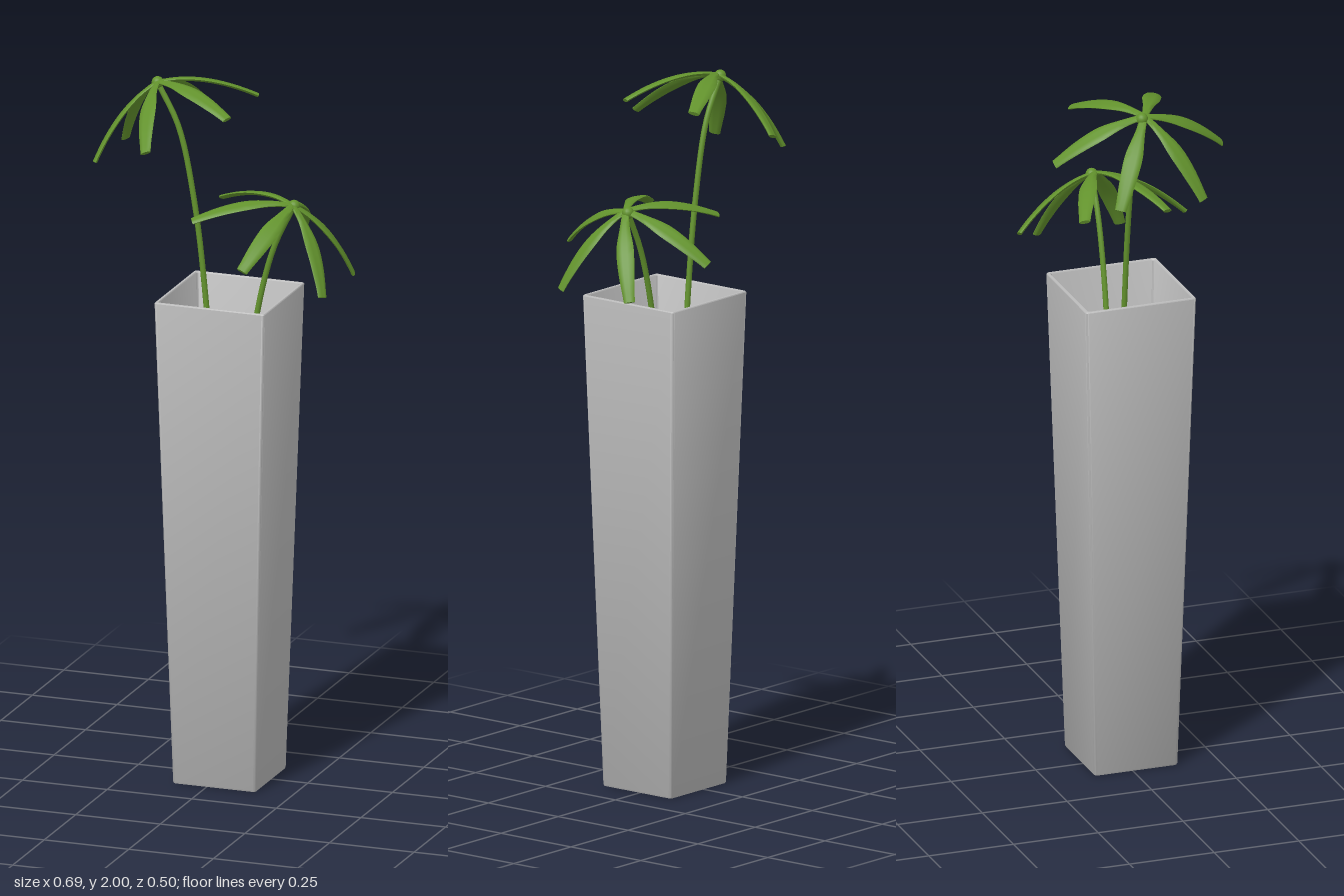
import * as THREE from 'three';
import { toCreasedNormals } from 'three/addons/utils/BufferGeometryUtils.js';

// Skin a list of closed rings (equal point counts) into one surface.
function loft(rings, crease) {
  const n = rings[0].length, pos = [], idx = [];
  rings.forEach((ring) => ring.forEach((p) => pos.push(p.x, p.y, p.z)));
  for (let i = 0; i < rings.length - 1; i++) {
    for (let j = 0; j < n; j++) {
      const k = (j + 1) % n, a = i * n + j, b = i * n + k;
      idx.push(a, a + n, b, b, a + n, b + n);
    }
  }
  const g = new THREE.BufferGeometry();
  g.setAttribute('position', new THREE.Float32BufferAttribute(pos, 3));
  g.setIndex(idx);
  return toCreasedNormals(g, crease);
}

// Horizontal square ring with small rounded corners.
function squareRing(half, y) {
  const r = Math.min(0.008, half), pts = [];
  for (let c = 0; c < 4; c++) {
    const mid = Math.PI / 4 + c * Math.PI / 2;
    const cx = Math.sign(Math.cos(mid)) * (half - r), cz = Math.sign(Math.sin(mid)) * (half - r);
    for (let s = 0; s <= 4; s++) {
      const a = c * Math.PI / 2 + s * Math.PI / 8;
      pts.push(new THREE.Vector3(cx + r * Math.cos(a), y, cz + r * Math.sin(a)));
    }
  }
  return pts;
}

// Arching blade along +x with a lens-shaped section and a blunt tip.
function leafGeometry() {
  const R = 0.245, drop = 0.14, steps = 16, sides = 10, rings = [];
  const halfWidth = new THREE.SplineCurve([
    [0, 0.009], [0.15, 0.015], [0.5, 0.025], [0.85, 0.023], [1, 0.016],
  ].map(([x, y]) => new THREE.Vector2(x, y)));
  const ring = (u, scale) => {
    const x = R * u, y = -drop * (0.25 * u + 0.75 * u * u);
    const slope = -drop * (0.25 + 1.5 * u) / R, len = Math.hypot(1, slope);
    const w = halfWidth.getPoint(u).y * scale, t = 0.006 * scale;
    return Array.from({ length: sides }, (_, j) => {
      const a = j / sides * Math.PI * 2, h = t * Math.sin(a);
      return new THREE.Vector3(x - h * slope / len, y + h / len, w * Math.cos(a));
    });
  };
  rings.push(ring(0, 0));
  for (let i = 0; i <= steps; i++) rings.push(ring(i / steps, 1));
  rings.push(ring(1, 0));
  return loft(rings, 1);
}

export function createModel() {
  const model = new THREE.Group();
  const grey = new THREE.MeshStandardMaterial({ color: 0xbcbcbc });
  grey.name = 'vaseGrey';
  const green = new THREE.MeshStandardMaterial({ color: 0x63932d });
  green.name = 'leafGreen';

  const add = (parent, name, geometry, material) => {
    const mesh = new THREE.Mesh(geometry, material);
    mesh.name = name;
    parent.add(mesh);
    return mesh;
  };

  // Tall tapered square vase: underside, outer wall, rim, inner wall, floor
  const profile = [
    [0, 0], [0.121, 0], [0.123, 0.004], [0.163, 1.398], [0.161, 1.401],
    [0.155, 1.401], [0.153, 1.398], [0.117, 0.03], [0, 0.03],
  ];
  const vase = add(model, 'vase', loft(profile.map(([h, y]) => squareRing(h, y)), 0.7), grey);
  vase.position.set(0.022, 0, 0.01);

  // Two plants, each a curved stem with a tilted crown of six leaves
  const leaf = leafGeometry();
  const plants = [
    {
      name: 'tallPlant', tilt: 23, crown: [-0.193, 1.985],
      stem: [[-0.028, 0.7], [-0.036, 1.1], [-0.058, 1.4], [-0.089, 1.65], [-0.135, 1.86], [-0.197, 1.982]],
    },
    {
      name: 'shortPlant', tilt: -25, crown: [0.205, 1.67],
      stem: [[0.016, 0.38], [0.032, 0.78], [0.06, 1.1], [0.108, 1.4], [0.15, 1.55], [0.206, 1.667]],
    },
  ];
  for (const { name, tilt, crown, stem } of plants) {
    const plant = new THREE.Group();
    plant.name = name;
    model.add(plant);

    const z = -0.009;
    const path = new THREE.CatmullRomCurve3(stem.map(([x, y]) => new THREE.Vector3(x, y, z)));
    add(plant, 'stem', new THREE.TubeGeometry(path, 40, 0.008, 10), green);

    // Rounded ends of the stem
    const ends = [[stem[0], 0.008, 'stemFoot'], [stem[stem.length - 1], 0.017, 'crownBud']];
    for (const [[x, y], r, label] of ends) {
      add(plant, label, new THREE.SphereGeometry(r, 16, 12), green).position.set(x, y, z);
    }

    const leaves = new THREE.Group();
    leaves.name = 'leafCrown';
    leaves.position.set(crown[0], crown[1], 0);
    leaves.rotation.z = THREE.MathUtils.degToRad(tilt);
    plant.add(leaves);
    for (let i = 0; i < 6; i++) {
      add(leaves, 'leaf', leaf, green).rotation.y = Math.PI / 6 + i * Math.PI / 3;
    }
  }
  return model;
}
